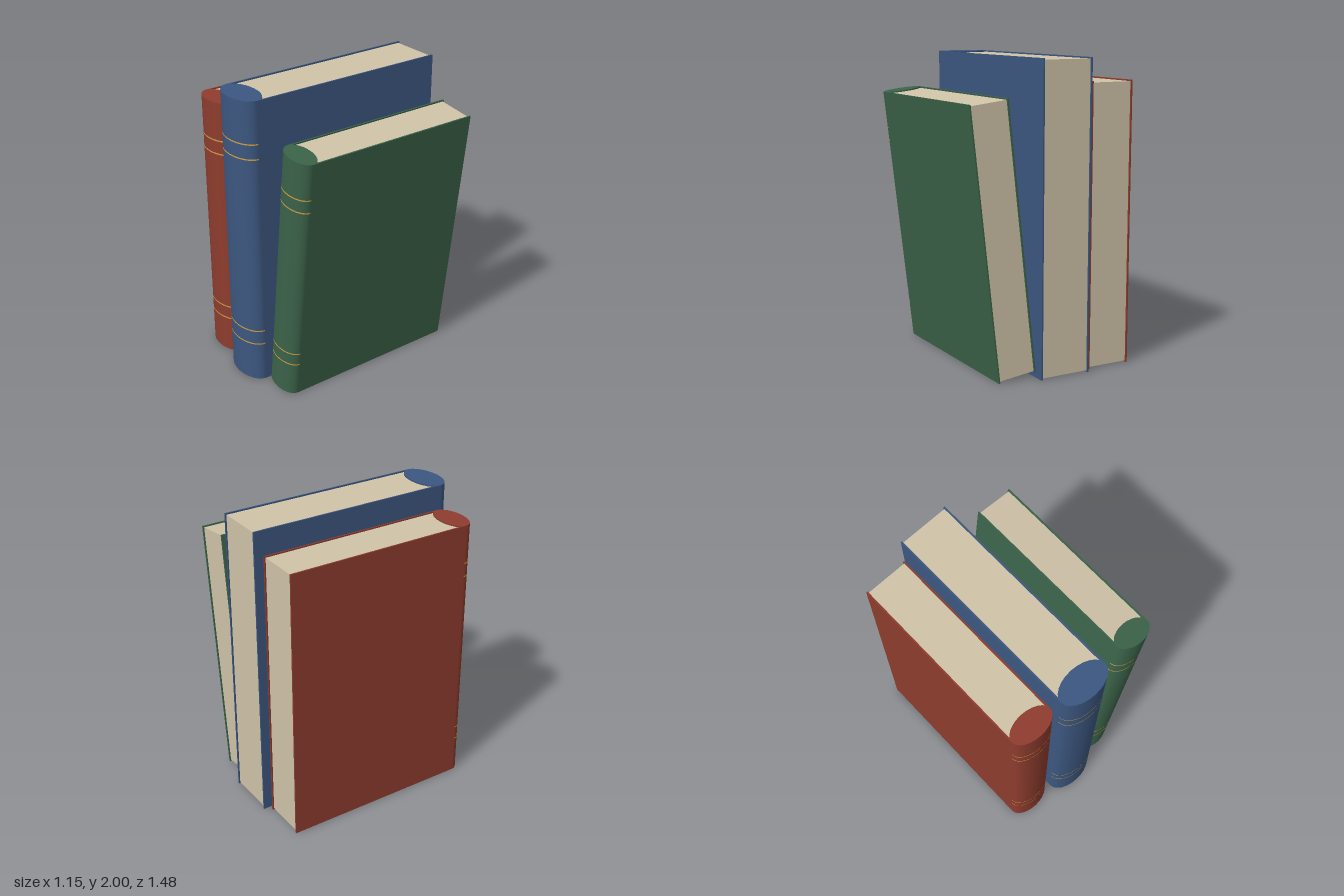
import * as THREE from 'three';

const mat = (name, color, side = THREE.FrontSide) => {
  const m = new THREE.MeshStandardMaterial({ color, side });
  m.name = name;
  return m;
};

export function createModel() {
  const paper = mat('cream paper', 0xd0c4a8);
  const gold = mat('gold', 0xd0a040, THREE.DoubleSide);
  const red = mat('red cloth', 0x8e3c2e);
  const blue = mat('blue cloth', 0x3c5780);
  const green = mat('green cloth', 0x3b6349);

  const add = (parent, name, geometry, material, x, y, z) => {
    const mesh = new THREE.Mesh(geometry, material);
    mesh.name = name;
    mesh.position.set(x, y, z);
    parent.add(mesh);
    return mesh;
  };

  // One upright book standing on its origin, spine towards +z
  function book(name, cloth, { width, height, back, joint, bulge }) {
    const g = new THREE.Group();
    g.name = name;
    const board = 0.01, inset = 0.009;
    const depth = joint - back, midZ = (joint + back) / 2;

    // Two boards
    for (const side of [-1, 1]) {
      add(g, side < 0 ? 'rightCover' : 'leftCover', new THREE.BoxGeometry(board, height, depth),
        cloth, side * (width - board) / 2, height / 2, midZ);
    }

    // Page block, set in from the edges of the boards
    add(g, 'pages', new THREE.BoxGeometry(width - 2 * board, height - 2 * inset, depth - inset),
      paper, 0, height / 2, midZ + inset / 2);

    // Rounded spine: an elliptical column
    const spine = new THREE.CylinderGeometry(1, 1, height, 24);
    spine.scale(width / 2, 1, bulge);
    add(g, 'spine', spine, cloth, 0, height / 2, joint);

    // Gold lines around the front half of the spine
    for (const t of [0.14, 0.19, 0.81, 0.86]) {
      const band = new THREE.CylinderGeometry(1, 1, 0.009, 24, 1, true, -Math.PI / 2, Math.PI);
      band.scale(width / 2 + 0.001, 1, bulge + 0.002);
      add(g, 'spineBand', band, gold, 0, height * t, joint);
    }
    return g;
  }

  const redBook = book('redBook', red, { width: 0.305, height: 1.85, back: -0.695, joint: 0.59, bulge: 0.085 });
  redBook.position.x = -0.425;

  const blueBook = book('blueBook', blue, { width: 0.352, height: 2, back: -0.74, joint: 0.64, bulge: 0.1 });
  blueBook.position.x = -0.067;

  // The green book leans against the blue one
  const greenBook = book('greenBook', green, { width: 0.268, height: 1.745, back: -0.667, joint: 0.565, bulge: 0.08 });
  greenBook.position.set(0.24, 0.017, 0);
  greenBook.rotation.z = -0.115;

  const model = new THREE.Group();
  model.name = 'books';
  model.add(redBook, blueBook, greenBook);
  return model;
}
